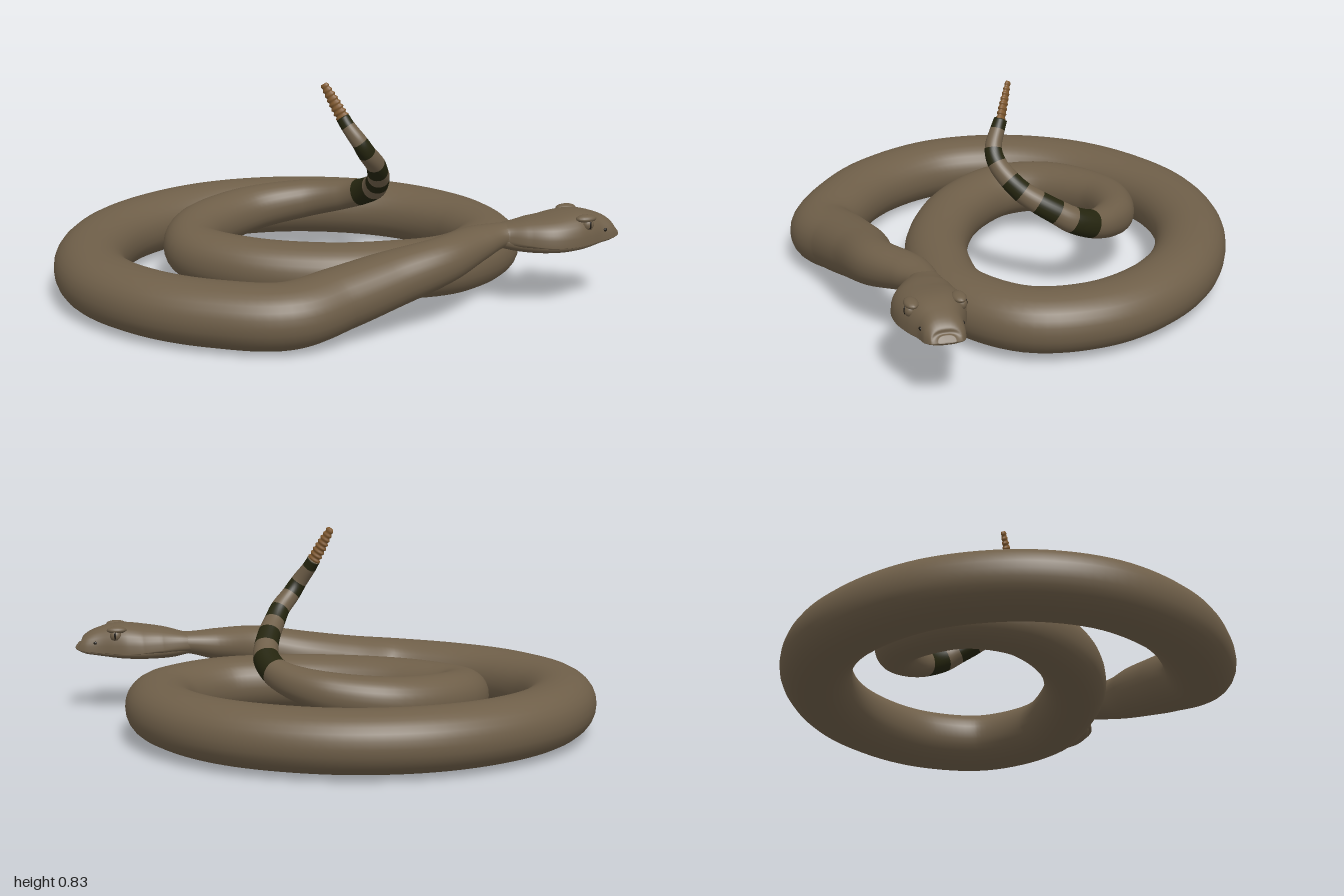
import * as THREE from 'three';

const flat = (name, hex) => {
  const m = new THREE.MeshStandardMaterial({ color: hex });
  m.name = name;
  return m;
};

// Sweeps a rounded section through knots [x, y, z, halfWidth, heightAbove, heightBelow].
// colourOf(knotIndex) picks the material index of each stretch between knots.
function loft(knots, { steps = 8, sides = 28, power = 1, colourOf = () => 0 } = {}) {
  const path = new THREE.CatmullRomCurve3(knots.map(k => new THREE.Vector3(k[0], k[1], k[2])));
  const size = new THREE.CatmullRomCurve3(
    knots.map(k => new THREE.Vector3(k[3], k[4], k[5] ?? k[4])), false, 'catmullrom', 0.5);
  const rows = (knots.length - 1) * steps;
  const pos = [], idx = [];
  const round = v => Math.sign(v) * Math.abs(v) ** power;
  const worldUp = new THREE.Vector3(0, 1, 0);
  for (let i = 0; i <= rows; i++) {
    const t = i / rows, c = path.getPoint(t), s = size.getPoint(t);
    const dir = path.getTangent(t);
    const side = dir.clone().cross(worldUp).normalize();
    const up = side.clone().cross(dir);
    for (let j = 0; j < sides; j++) {
      const a = (j / sides) * Math.PI * 2, v = round(Math.sin(a));
      const p = c.clone().addScaledVector(side, s.x * round(Math.cos(a)))
        .addScaledVector(up, v * (v > 0 ? s.y : s.z));
      pos.push(p.x, p.y, p.z);
    }
  }
  const geo = new THREE.BufferGeometry();
  for (let i = 0; i < rows; i++) {
    const start = idx.length;
    for (let j = 0; j < sides; j++) {
      const k = (j + 1) % sides;
      const a = i * sides + j, b = a + sides, c = i * sides + k, d = c + sides;
      idx.push(a, b, c, b, d, c);
    }
    geo.addGroup(start, idx.length - start, colourOf(Math.floor(i / steps)));
  }
  // end caps
  const capStart = idx.length, first = knots[0], last = knots[knots.length - 1];
  const centre = (rows + 1) * sides;
  pos.push(first[0], first[1], first[2], last[0], last[1], last[2]);
  for (let j = 0; j < sides; j++) {
    const k = (j + 1) % sides;
    idx.push(centre, j, k, centre + 1, rows * sides + k, rows * sides + j);
  }
  geo.addGroup(capStart, idx.length - capStart, 0);
  geo.setAttribute('position', new THREE.Float32BufferAttribute(pos, 3));
  geo.setIndex(idx);
  geo.computeVertexNormals();
  return geo;
}

export function createModel() {
  const snake = new THREE.Group();
  snake.name = 'coiledSnake';
  const skin = flat('skin brown', 0x6f5f49);
  const band = flat('tail band', 0x25250f);
  const horn = flat('rattle brown', 0x80592f);
  const dark = flat('dark', 0x1c1812);
  const add = (name, geo, mat, parent = snake) => {
    const m = new THREE.Mesh(geo, mat);
    m.name = name;
    parent.add(m);
    return m;
  };

  // Body: neck, outer coil, inner coil
  const coil = [
    [0.64, 0.30, 0.68, 0.06, 0.045], [0.53, 0.298, 0.652, 0.062, 0.047],
    [0.42, 0.285, 0.657, 0.082, 0.065], [0.22, 0.255, 0.71, 0.092, 0.088],
    [0.0, 0.205, 0.685, 0.118, 0.105], [-0.2, 0.165, 0.68, 0.13, 0.115],
    [-0.41, 0.135, 0.68, 0.14, 0.12], [-0.62, 0.13, 0.525, 0.14, 0.12],
    [-0.785, 0.13, 0.30, 0.14, 0.12], [-0.86, 0.13, 0.0, 0.141, 0.121],
    [-0.79, 0.133, -0.28, 0.142, 0.121], [-0.59, 0.136, -0.53, 0.143, 0.121],
    [-0.33, 0.138, -0.67, 0.143, 0.121], [-0.03, 0.14, -0.717, 0.143, 0.121],
    [0.29, 0.14, -0.64, 0.142, 0.12], [0.58, 0.14, -0.43, 0.14, 0.12],
    [0.73, 0.14, -0.19, 0.138, 0.118], [0.777, 0.14, 0.06, 0.137, 0.117],
    [0.70, 0.142, 0.31, 0.136, 0.116], [0.44, 0.144, 0.457, 0.13, 0.115],
    [0.17, 0.148, 0.425, 0.126, 0.113], [-0.07, 0.15, 0.325, 0.124, 0.112],
    [-0.30, 0.155, 0.13, 0.12, 0.111], [-0.41, 0.165, -0.11, 0.115, 0.108],
    [-0.31, 0.19, -0.29, 0.11, 0.102], [-0.03, 0.217, -0.4, 0.1, 0.094],
    [0.2, 0.25, -0.335, 0.082, 0.08], [0.32, 0.28, -0.22, 0.065, 0.065],
  ];
  // Tail: knots mark the edges of the dark bands
  const tail = [
    [0.365, 0.305, -0.135, 0.056, 0.056], [0.378, 0.345, -0.045, 0.052, 0.052],
    [0.362, 0.38, 0.01, 0.048, 0.048], [0.33, 0.422, 0.075, 0.045, 0.045],
    [0.295, 0.46, 0.125, 0.042, 0.042], [0.26, 0.505, 0.163, 0.039, 0.039],
    [0.205, 0.56, 0.19, 0.036, 0.036], [0.172, 0.608, 0.19, 0.033, 0.033],
    [0.138, 0.67, 0.155, 0.028, 0.028], [0.125, 0.703, 0.135, 0.025, 0.027],
  ];
  const colourOf = i => (i >= coil.length && (i - coil.length) % 2 === 0 ? 1 : 0);
  add('bodyAndTail', loft([...coil, ...tail], { colourOf, power: 0.94 }), [skin, band]);

  // Rattle: flattened ridged segments
  const rattle = [], segments = 8;
  for (let i = 0; i <= segments * 2; i++) {
    const t = i / (segments * 2);
    const r = (0.029 - 0.013 * t * t) * (i % 2 ? 1 : 0.78);
    rattle.push([0.127 - 0.055 * t, 0.698 + 0.135 * t, 0.138 - 0.062 * t, r * 0.6, r]);
  }
  add('rattle', loft(rattle, { steps: 3, sides: 14 }), horn);

  // Head: wide upper head over a slightly inset lower jaw
  const head = new THREE.Group();
  head.name = 'head';
  snake.add(head);
  add('upperHead', loft([
    [0.50, 0.295, 0.647, 0.055, 0.04, 0.035], [0.55, 0.29, 0.655, 0.066, 0.056, 0.03],
    [0.62, 0.28, 0.682, 0.1, 0.083, 0.02], [0.70, 0.272, 0.712, 0.128, 0.102, 0.008],
    [0.78, 0.27, 0.727, 0.126, 0.114, 0.006], [0.84, 0.27, 0.737, 0.108, 0.114, 0.006],
    [0.90, 0.272, 0.746, 0.085, 0.098, 0.006], [0.955, 0.277, 0.756, 0.074, 0.072, 0.006],
    [0.985, 0.284, 0.763, 0.055, 0.042, 0.006], [0.993, 0.29, 0.765, 0.03, 0.022, 0.005],
  ], { power: 0.78, sides: 32 }), skin, head);
  add('lowerJaw', loft([
    [0.52, 0.285, 0.648, 0.05, 0.02, 0.03], [0.60, 0.275, 0.675, 0.082, 0.02, 0.038],
    [0.70, 0.268, 0.71, 0.117, 0.015, 0.035], [0.80, 0.266, 0.73, 0.112, 0.012, 0.028],
    [0.89, 0.268, 0.744, 0.08, 0.01, 0.018], [0.95, 0.272, 0.755, 0.064, 0.008, 0.012],
    [0.975, 0.276, 0.761, 0.045, 0.005, 0.006],
  ], { power: 0.85 }), skin, head);

  // Eyes, brows and nostrils, mirrored across the head's slanted axis
  const face = new THREE.Group();
  face.name = 'face';
  face.position.set(0.83, 0, 0.735);
  face.rotation.y = -0.17;
  head.add(face);
  const ball = (name, mat, p, s) => {
    const m = add(name, new THREE.SphereGeometry(1, 18, 12), mat, face);
    m.position.set(...p);
    m.scale.set(...s);
    return m;
  };
  for (const s of [-1, 1]) {
    ball('eye', skin, [0, 0.345, s * 0.092], [0.024, 0.024, 0.02]);
    ball('pupil', dark, [0.002, 0.346, s * 0.109], [0.005, 0.015, 0.004]);
    ball('brow', skin, [-0.005, 0.368, s * 0.085], [0.042, 0.015, 0.026]);
    ball('nostril', dark, [0.085, 0.312, s * 0.076], [0.008, 0.007, 0.005]);
  }
  return snake;
}
